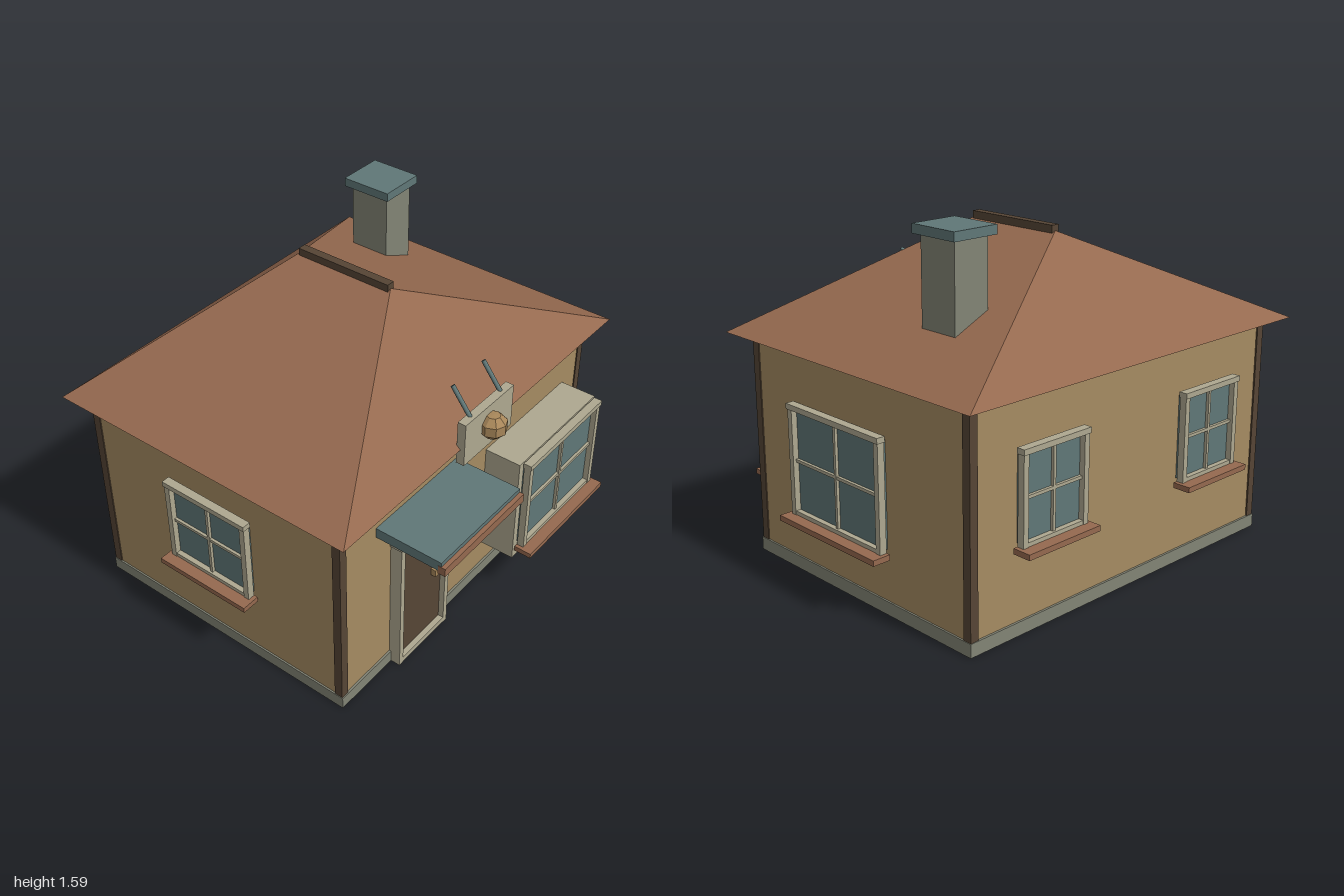
import * as THREE from 'three';
import { ConvexGeometry } from 'three/addons/geometries/ConvexGeometry.js';

function paint(name, color) {
  const m = new THREE.MeshStandardMaterial({ color });
  m.name = name;
  return m;
}

export function createModel() {
  const plaster = paint('tan plaster', 0xa58b62);
  const brown = paint('roof brown', 0x95694f);
  const timber = paint('dark timber', 0x564535);
  const stone = paint('grey stone', 0x828475);
  const trim = paint('cream trim', 0xaea890);
  const teal = paint('slate teal', 0x607777);
  const brass = paint('brass', 0xa8875a);
  brass.flatShading = true;

  const house = new THREE.Group();
  house.name = 'house';

  // Box given by its min and max on each axis
  function box(name, mat, [x0, x1], [y0, y1], [z0, z1], parent = house) {
    const mesh = new THREE.Mesh(new THREE.BoxGeometry(x1 - x0, y1 - y0, z1 - z0), mat);
    mesh.position.set((x0 + x1) / 2, (y0 + y1) / 2, (z0 + z1) / 2);
    mesh.name = name;
    parent.add(mesh);
    return mesh;
  }

  // Walls, foundation and corner posts
  box('walls', plaster, [-0.9, 0.9], [0.01, 1.02], [-0.8, 0.565]);
  box('foundation', stone, [-0.908, 0.908], [0, 0.06], [-0.81, 0.575]);
  for (const x of [-0.885, 0.885])
    for (const z of [-0.787, 0.55])
      box('cornerPost', timber, [x - 0.02, x + 0.02], [0.06, 1.02], [z - 0.02, z + 0.02]);

  // Hipped roof with ridge beam
  const corners = [[-0.985, -0.895], [0.985, -0.895], [0.985, 0.655], [-0.985, 0.655]];
  const roofPoints = corners.map(([x, z]) => new THREE.Vector3(x, 1.02, z));
  roofPoints.push(new THREE.Vector3(0, 1.475, 0.12), new THREE.Vector3(0, 1.475, -0.365));
  const roof = new THREE.Mesh(new ConvexGeometry(roofPoints), brown);
  roof.name = 'roof';
  house.add(roof);
  box('ridgeBeam', timber, [-0.02, 0.02], [1.462, 1.5], [-0.365, 0.12]);

  // Chimney
  box('chimney', stone, [0.5, 0.675], [1.16, 1.545], [-0.48, -0.285]);
  box('chimneyCap', teal, [0.475, 0.7], [1.545, 1.585], [-0.507, -0.262]);

  // Door with frame and knob
  box('door', timber, [-0.55, -0.24], [0.02, 0.7], [0.56, 0.595]);
  for (const x of [-0.557, -0.23])
    box('doorJamb', trim, [x - 0.013, x + 0.013], [0, 0.7], [0.56, 0.622]);
  box('doorHeader', trim, [-0.575, -0.213], [0.69, 0.715], [0.56, 0.626]);
  box('doorThreshold', trim, [-0.57, -0.217], [0.005, 0.03], [0.56, 0.622]);
  box('doorKnob', brass, [-0.315, -0.29], [0.342, 0.378], [0.59, 0.62]);

  // Canopy over the door
  box('canopy', teal, [-0.67, -0.115], [0.812, 0.86], [0.56, 0.885]);
  box('canopyFascia', brown, [-0.672, -0.113], [0.8, 0.84], [0.87, 0.905]);

  // Sign board with faceted boss and two stays
  box('signBoard', trim, [-0.225, 0.125], [0.945, 1.155], [0.635, 0.675]);
  const profile = [[0, -0.056], [0.03, -0.054], [0.061, -0.022], [0.061, 0.024], [0.03, 0.054], [0, 0.056]];
  const boss = new THREE.Mesh(
    new THREE.LatheGeometry(profile.map(([r, y]) => new THREE.Vector2(r, y)), 8), brass);
  boss.name = 'signBoss';
  boss.position.set(-0.05, 1.06, 0.695);
  house.add(boss);
  for (const x of [-0.16, 0.06]) {
    const stay = new THREE.Mesh(new THREE.CylinderGeometry(0.01, 0.01, 0.15, 8), teal);
    stay.name = 'signStay';
    stay.position.set(x, 1.208, 0.605);
    stay.rotation.x = -Math.atan2(0.09, 0.115);
    house.add(stay);
  }

  // Window facing local +z, its wall plane at z = 0, its sill top at y = 0
  function addWindow(name, w, h, position, turn) {
    const g = new THREE.Group();
    g.name = name;
    const a = w / 2;
    const mid = h * 0.49;
    box('glass', teal, [-a + 0.015, a - 0.015], [0.01, h - 0.02], [-0.005, 0.016], g);
    for (const s of [-1, 1]) {
      const x = s * (a - 0.0175);
      box('jamb', trim, [x - 0.0135, x + 0.0135], [0, h - 0.02], [0.01, 0.043], g);
    }
    box('header', trim, [-a, a], [h - 0.025, h], [0.008, 0.048], g);
    box('bottomRail', trim, [-a + 0.01, a - 0.01], [0, 0.018], [0.008, 0.04], g);
    box('mullion', trim, [-0.007, 0.007], [0.01, h - 0.02], [0.008, 0.03], g);
    box('crossBar', trim, [-a + 0.02, a - 0.02], [mid - 0.007, mid + 0.007], [0.008, 0.029], g);
    box('sill', brown, [-a - 0.015, a + 0.015], [-0.025, 0], [0.008, 0.094], g);
    g.position.set(...position);
    g.rotation.y = turn;
    house.add(g);
  }

  // Bay box and all the windows
  box('bayBox', trim, [0.12, 0.753], [0.2, 0.752], [0.56, 0.742]);
  addWindow('bayWindow', 0.6, 0.482, [0.437, 0.275, 0.742], 0);
  addWindow('leftSideWindow', 0.605, 0.5, [0.905, 0.28, -0.025], Math.PI / 2);
  addWindow('rightSideWindow', 0.46, 0.42, [-0.905, 0.387, -0.125], -Math.PI / 2);
  for (const x of [-0.492, 0.483])
    addWindow('backWindow', 0.375, 0.41, [x, 0.392, -0.808], Math.PI);

  return house;
}
